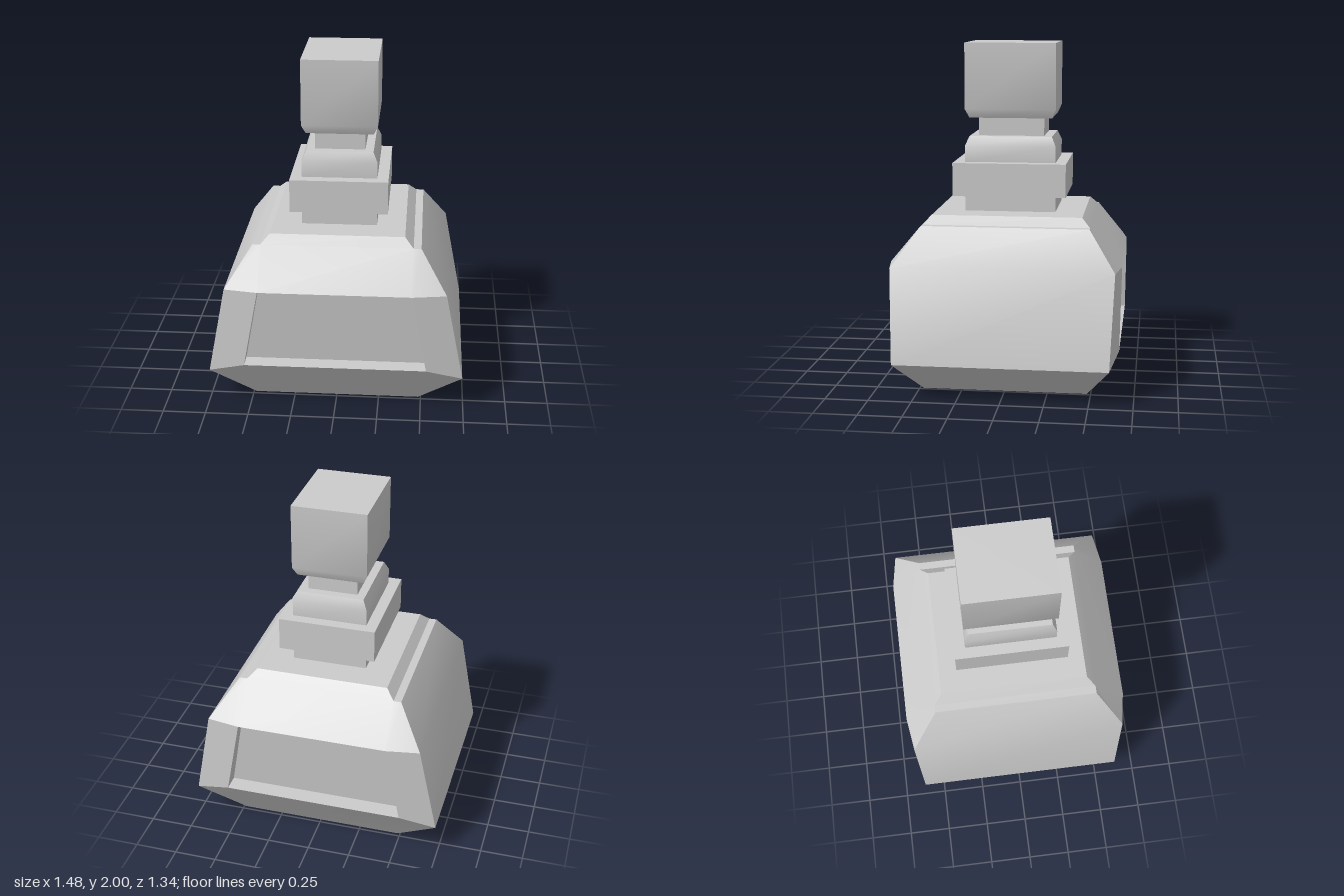
import * as THREE from 'three';
import { toCreasedNormals } from 'three/addons/utils/BufferGeometryUtils.js';

const material = new THREE.MeshStandardMaterial({ color: 0xcccccc });
const CREASE = Math.PI / 6;

// Mesh from convex polygons, each a loop of [x, y, z] corners
function facesMesh(name, faces) {
  const pos = [];
  for (const f of faces)
    for (let i = 1; i < f.length - 1; i++) pos.push(...f[0], ...f[i], ...f[i + 1]);
  const g = new THREE.BufferGeometry();
  g.setAttribute('position', new THREE.Float32BufferAttribute(pos, 3));
  const mesh = new THREE.Mesh(toCreasedNormals(g, CREASE), material);
  mesh.name = name;
  return mesh;
}

// Rectangular loft through levels of [y, halfWidth, halfDepth], capped at both ends
function rectLoft(name, levels) {
  const rings = levels.map(([y, w, d]) => [[-w, y, d], [w, y, d], [w, y, -d], [-w, y, -d]]);
  const faces = [[...rings[0]].reverse(), rings[rings.length - 1]];
  for (let i = 0; i < rings.length - 1; i++)
    for (let k = 0; k < 4; k++) {
      const n = (k + 1) % 4;
      faces.push([rings[i][k], rings[i][n], rings[i + 1][n], rings[i + 1][k]]);
    }
  return facesMesh(name, faces);
}

const mx = ([x, y, z]) => [-x, y, z];
const mz = ([x, y, z]) => [x, y, -z];
const turn = ([x, y, z]) => [-x, y, -z];

function body() {
  // Corners of the front left quarter
  const A = [0.485, 0, 0.478];      // base
  const B = [0.74, 0.21, 0.615];    // widest point
  const C = [0.635, 0.745, 0.638];  // shoulder start
  const D = [0.528, 0.275, 0.662];  // recess bottom
  const E = [0.44, 0.745, 0.67];    // recess top
  const F = [0.485, 0.965, 0.485];  // ledge outside
  const G = [0.44, 0.965, 0.485];   // ledge inside
  const H = [0.39, 1.015, 0.437];   // top
  const Df = [0.528, 0.275, 0.56];  // recess floor
  const Ef = [0.44, 0.745, 0.6];

  // Pieces that repeat left and right: pillar, shoulder corner, recess wall
  const paired = [[B, C, E, D], [E, C, F, G], [D, E, Ef, Df]];
  const half = [
    ...paired,
    ...paired.map((f) => f.map(mx).reverse()),
    [mx(A), A, B, D, mx(D), mx(B)],   // lower chamfer
    [mx(E), E, G, mx(G)],             // shoulder
    [mx(G), G, H, mx(H)],
    [mx(Df), Df, Ef, mx(Ef)],         // recess floor, sill and head
    [mx(D), D, Df, mx(Df)],
    [E, mx(E), mx(Ef), Ef],
  ];
  // Side strip from base to top
  const side = [A, B, C, F, G, H];
  for (let i = 0; i < side.length - 1; i++)
    half.push([side[i], mz(side[i]), mz(side[i + 1]), side[i + 1]]);

  return facesMesh('bottleBody', [
    ...half,
    ...half.map((f) => f.map(turn)),
    [mx(H), H, mz(H), turn(H)],
    [mx(A), turn(A), mz(A), A],
  ]);
}

export function createModel() {
  const group = new THREE.Group();
  group.name = 'bottle';
  group.add(
    body(),
    rectLoft('neck', [[1.015, 0.22, 0.267], [1.11, 0.22, 0.267]]),
    rectLoft('collar', [[1.11, 0.285, 0.332], [1.305, 0.285, 0.332]]),
    rectLoft('lip', [[1.305, 0.22, 0.267], [1.4, 0.22, 0.267], [1.455, 0.195, 0.243]]),
    rectLoft('stopperStem', [[1.455, 0.146, 0.193], [1.563, 0.146, 0.193]]),
    rectLoft('stopper', [[1.563, 0.195, 0.243], [1.615, 0.22, 0.267], [2, 0.22, 0.267]]),
  );
  return group;
}
